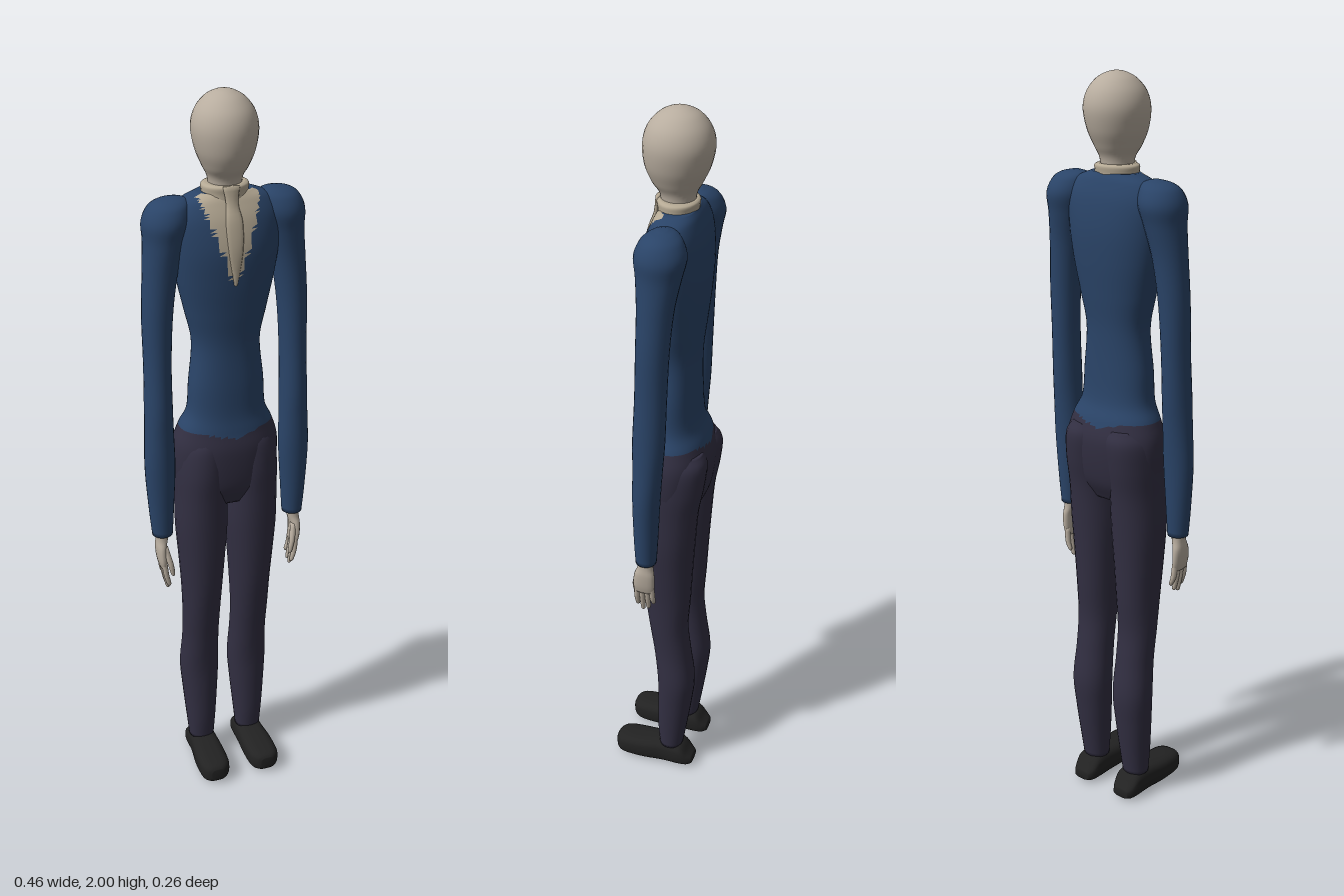
import * as THREE from 'three';

const material = (name, color) => Object.assign(new THREE.MeshStandardMaterial({ color }), { name });
const paint = {
  skin: material('pale skin', 0xb8ad9f),
  shirt: material('cream shirt', 0xb5a994),
  jacket: material('navy jacket', 0x2a4468),
  trousers: material('dark plum trousers', 0x322f42),
  shoes: material('black shoes', 0x222222),
};

// Smooth closed body through rings of [y, centre x, centre z, radius x, radius z].
function loft(rings, steps, sides = 24, power = 1) {
  const spline = new THREE.CubicInterpolant(rings.map((_, i) => i), rings.flat(), 5);
  const pos = [], index = [];
  const bend = (v) => Math.sign(v) * Math.abs(v) ** power;
  for (let i = 0; i <= steps; i++) {
    const [y, cx, cz, rx, rz] = spline.evaluate((i / steps) * (rings.length - 1));
    for (let j = 0; j < sides; j++) {
      const a = (j / sides) * Math.PI * 2;
      pos.push(cx + rx * bend(Math.cos(a)), y, cz + rz * bend(Math.sin(a)));
    }
  }
  const first = rings[0], last = rings[rings.length - 1];
  const bottom = pos.length / 3, top = bottom + 1;
  pos.push(first[1], first[0], first[2], last[1], last[0], last[2]);
  for (let j = 0; j < sides; j++) {
    const k = (j + 1) % sides;
    for (let i = 0; i < steps; i++) {
      const a = i * sides + j, c = i * sides + k;
      index.push(a, a + sides, c, c, a + sides, c + sides);
    }
    index.push(bottom, j, k, top, steps * sides + k, steps * sides + j);
  }
  const geometry = new THREE.BufferGeometry();
  geometry.setAttribute('position', new THREE.Float32BufferAttribute(pos, 3));
  geometry.setIndex(index);
  geometry.computeVertexNormals();
  return geometry;
}

// Keeps only the triangles whose centre passes the test.
function keep(geometry, test) {
  const result = geometry.clone(), p = geometry.attributes.position, old = geometry.index.array;
  const index = [];
  for (let i = 0; i < old.length; i += 3) {
    const t = [old[i], old[i + 1], old[i + 2]];
    const mean = (get) => (get(t[0]) + get(t[1]) + get(t[2])) / 3;
    if (test(mean((v) => p.getX(v)), mean((v) => p.getY(v)), mean((v) => p.getZ(v)))) index.push(...t);
  }
  result.setIndex(index);
  return result;
}

export function createModel() {
  const model = new THREE.Group();
  model.name = 'figure';
  const add = (name, geometry, mat) => {
    const mesh = new THREE.Mesh(geometry, mat);
    mesh.name = name;
    model.add(mesh);
    return mesh;
  };

  // Head and neck in one egg-shaped form
  add('head', loft([
    [1.72, 0, -0.025, 0.042, 0.042], [1.785, 0, -0.025, 0.043, 0.044],
    [1.82, 0, -0.022, 0.058, 0.063], [1.86, 0, -0.023, 0.074, 0.08],
    [1.91, 0, -0.026, 0.082, 0.087], [1.95, 0, -0.027, 0.073, 0.077],
    [1.98, 0, -0.028, 0.05, 0.053], [1.995, 0, -0.028, 0.024, 0.026], [2, 0, -0.028, 0.002, 0.002],
  ], 48, 32), paint.skin);

  // Torso surface, shared by trouser top, jacket and shirt opening
  const torso = loft([
    [0.9, 0, -0.025, 0.11, 0.06], [0.96, 0, -0.027, 0.138, 0.085],
    [1.06, 0, -0.03, 0.144, 0.094], [1.12, 0, -0.028, 0.128, 0.083],
    [1.17, 0, -0.022, 0.106, 0.07], [1.25, 0, -0.02, 0.1, 0.066],
    [1.36, 0, -0.022, 0.09, 0.064], [1.45, 0, -0.023, 0.108, 0.072],
    [1.54, 0, -0.024, 0.128, 0.08], [1.62, 0, -0.025, 0.14, 0.082],
    [1.69, 0, -0.028, 0.143, 0.072], [1.735, 0, -0.03, 0.118, 0.056],
    [1.757, 0, -0.03, 0.07, 0.044],
  ], 90, 48, 0.9);
  const isTrousers = (x, y) => y < 1.105 + 0.25 * Math.min(Math.abs(x), 0.08);
  const isShirt = (x, y, z) => z > -0.01 && Math.abs(x) < 0.36 * (y - 1.53);
  add('trouserTop', keep(torso, isTrousers), paint.trousers);
  add('shirtFront', keep(torso, isShirt), paint.shirt);
  add('jacketBody', keep(torso, (x, y, z) => !isTrousers(x, y) && !isShirt(x, y, z)), paint.jacket);

  // Collar and narrow neckcloth down the opening
  add('collar', loft([
    [1.735, 0, -0.026, 0.066, 0.05], [1.755, 0, -0.026, 0.06, 0.05],
    [1.772, 0, -0.026, 0.06, 0.052], [1.778, 0, -0.026, 0.05, 0.045],
  ], 12, 28), paint.shirt);
  add('neckcloth', loft([
    [1.535, 0, 0.056, 0.004, 0.004], [1.62, 0, 0.058, 0.018, 0.004],
    [1.69, 0, 0.046, 0.022, 0.005], [1.735, 0, 0.029, 0.016, 0.007], [1.778, 0, 0.023, 0.022, 0.007],
  ], 16, 12), paint.shirt);

  for (const s of [1, -1]) {
    const side = s > 0 ? 'left' : 'right';
    const limb = (name, rings, steps, sides, power, mat) =>
      add(side + name, loft(rings.map(([y, x, ...r]) => [y, x * s, ...r]), steps, sides, power), mat);

    // Sleeve with padded shoulder
    limb('Sleeve', [
      [0.82, 0.188, -0.003, 0.028, 0.028], [0.9, 0.189, -0.004, 0.034, 0.032],
      [1.02, 0.189, -0.006, 0.041, 0.036], [1.12, 0.188, -0.01, 0.039, 0.039],
      [1.2, 0.187, -0.013, 0.037, 0.042], [1.32, 0.185, -0.018, 0.036, 0.041],
      [1.45, 0.181, -0.022, 0.04, 0.042], [1.56, 0.17, -0.026, 0.045, 0.046],
      [1.64, 0.157, -0.03, 0.053, 0.056], [1.69, 0.15, -0.032, 0.061, 0.064],
      [1.725, 0.143, -0.032, 0.054, 0.052], [1.742, 0.135, -0.032, 0.04, 0.033],
      [1.75, 0.13, -0.032, 0.012, 0.01],
    ], 72, 24, 1, paint.jacket);

    // Hand: palm, four fingers and a thumb
    limb('Palm', [
      [0.72, 0.191, 0.002, 0.009, 0.026], [0.745, 0.194, 0.002, 0.012, 0.03],
      [0.78, 0.195, 0, 0.014, 0.028], [0.805, 0.191, -0.002, 0.016, 0.021],
      [0.84, 0.188, -0.003, 0.018, 0.02],
    ], 16, 16, 0.9, paint.skin);
    [0.024, 0.009, -0.006, -0.02].forEach((z, i) => {
      const tip = [0.664, 0.65, 0.656, 0.674][i];
      limb('Finger' + (i + 1), [
        [tip, 0.18, z, 0.002, 0.002], [tip + 0.007, 0.181, z, 0.006, 0.006],
        [0.7, 0.188, z, 0.0075, 0.0075], [0.74, 0.192, z * 0.9, 0.008, 0.008],
      ], 12, 10, 1, paint.skin);
    });
    limb('Thumb', [
      [0.7, 0.171, 0.034, 0.002, 0.002], [0.708, 0.172, 0.034, 0.006, 0.006],
      [0.74, 0.178, 0.031, 0.008, 0.008], [0.785, 0.188, 0.014, 0.009, 0.009],
    ], 12, 10, 1, paint.skin);

    // Trouser leg
    limb('TrouserLeg', [
      [0.07, 0.073, -0.036, 0.037, 0.034], [0.14, 0.073, -0.039, 0.043, 0.042],
      [0.24, 0.073, -0.046, 0.051, 0.049], [0.33, 0.073, -0.05, 0.056, 0.053],
      [0.43, 0.072, -0.039, 0.052, 0.052], [0.52, 0.072, -0.028, 0.053, 0.054],
      [0.62, 0.071, -0.024, 0.057, 0.064], [0.72, 0.071, -0.022, 0.064, 0.071],
      [0.82, 0.071, -0.022, 0.071, 0.077], [0.92, 0.071, -0.024, 0.071, 0.083],
      [1.0, 0.07, -0.029, 0.072, 0.092], [1.07, 0.065, -0.035, 0.07, 0.092],
      [1.105, 0.058, -0.034, 0.055, 0.078],
    ], 72, 24, 0.95, paint.trousers);

    // Shoe, lofted from heel to toe and laid along z
    limb('Shoe', [
      [-0.105, 0.073, -0.022, 0.024, 0.012], [-0.09, 0.073, -0.026, 0.034, 0.022],
      [-0.065, 0.073, -0.038, 0.04, 0.036], [-0.015, 0.073, -0.039, 0.04, 0.038],
      [0.045, 0.075, -0.037, 0.045, 0.036], [0.1, 0.076, -0.036, 0.043, 0.033],
      [0.122, 0.077, -0.036, 0.032, 0.027], [0.131, 0.077, -0.036, 0.018, 0.018],
    ], 32, 24, 0.65, paint.shoes).geometry.rotateX(Math.PI / 2);
  }
  return model;
}
